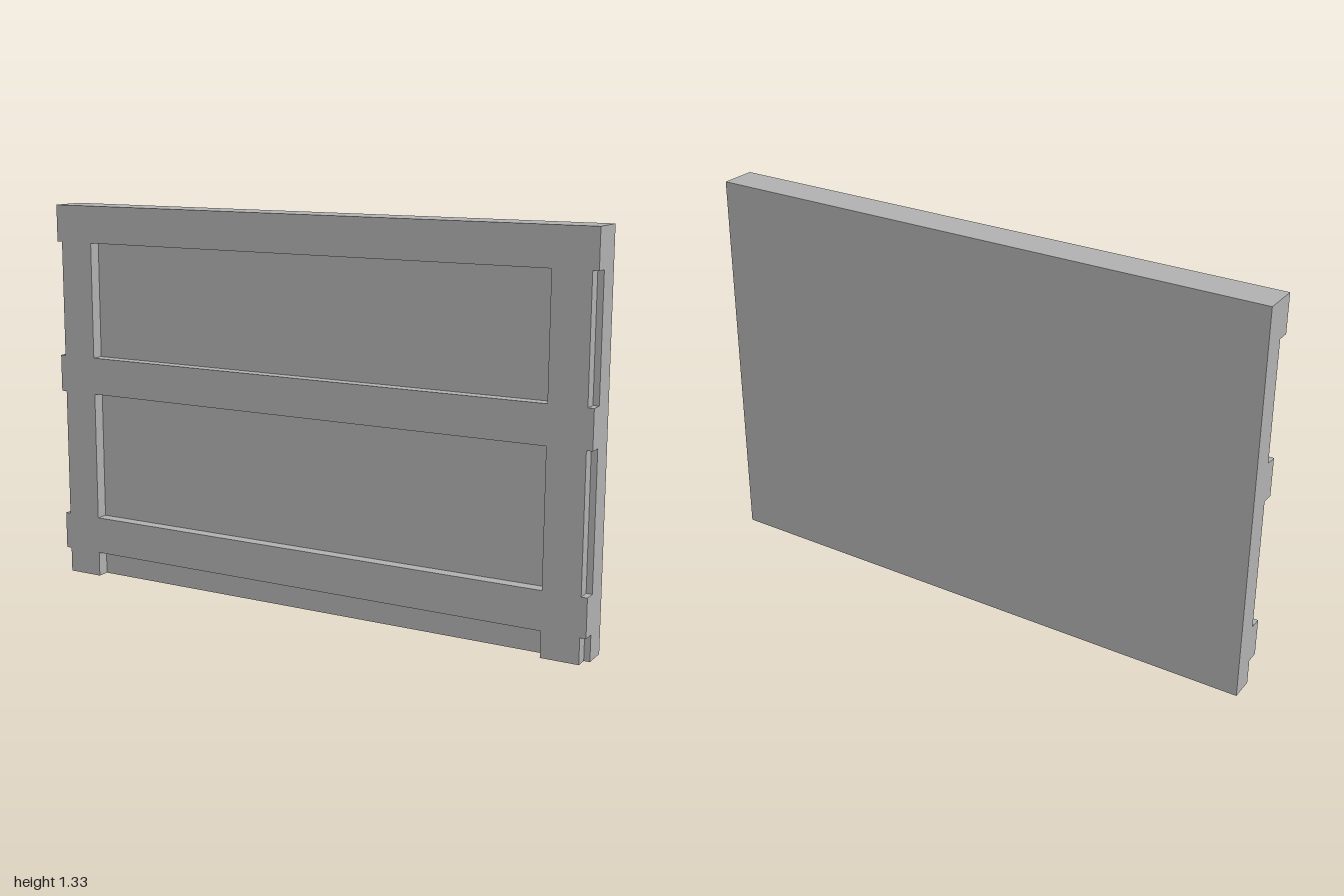
import * as THREE from 'three';

const HEIGHT = 1.334, BACK = -0.0625, STEP = 0.02, FRONT = 0.0625;
const INNER = 0.853, OUTER = 0.98;
// bottom and top of each horizontal rail
const RAILS = [[0.087, 0.217], [0.67, 0.8], [1.205, HEIGHT]];

export function createModel() {
  const group = new THREE.Group();
  group.name = 'panel';
  const grey = new THREE.MeshStandardMaterial({ color: 0xb2b2b2 });
  grey.name = 'grey';

  // Solid back slab
  const slab = new THREE.Mesh(new THREE.BoxGeometry(2, HEIGHT, STEP - BACK), grey);
  slab.name = 'backSlab';
  slab.position.set(0, HEIGHT / 2, (BACK + STEP) / 2);
  group.add(slab);

  // Raised frame: rails reach the full width, stiles stop short of the ends
  const side = [[INNER, 0], [OUTER, 0]];
  for (const [y0, y1] of RAILS) side.push([OUTER, y0], [1, y0], [1, y1], [OUTER, y1]);
  side.pop(); // the top rail ends at its corner
  const mirrored = side.map(([x, y]) => [-x, y]).reverse();
  const outline = [...side, ...mirrored, [-INNER, RAILS[0][0]], [INNER, RAILS[0][0]]];
  const shape = new THREE.Shape(outline.map(([x, y]) => new THREE.Vector2(x, y)));

  // Two recessed openings between the rails
  for (let i = 0; i < RAILS.length - 1; i++) {
    const low = RAILS[i][1], high = RAILS[i + 1][0];
    const corners = [[-INNER, low], [-INNER, high], [INNER, high], [INNER, low]];
    shape.holes.push(new THREE.Path(corners.map(([x, y]) => new THREE.Vector2(x, y))));
  }
  const frame = new THREE.Mesh(
    new THREE.ExtrudeGeometry(shape, { depth: FRONT - STEP, bevelEnabled: false }), grey);
  frame.name = 'raisedFrame';
  frame.position.z = STEP;
  group.add(frame);

  return group;
}
